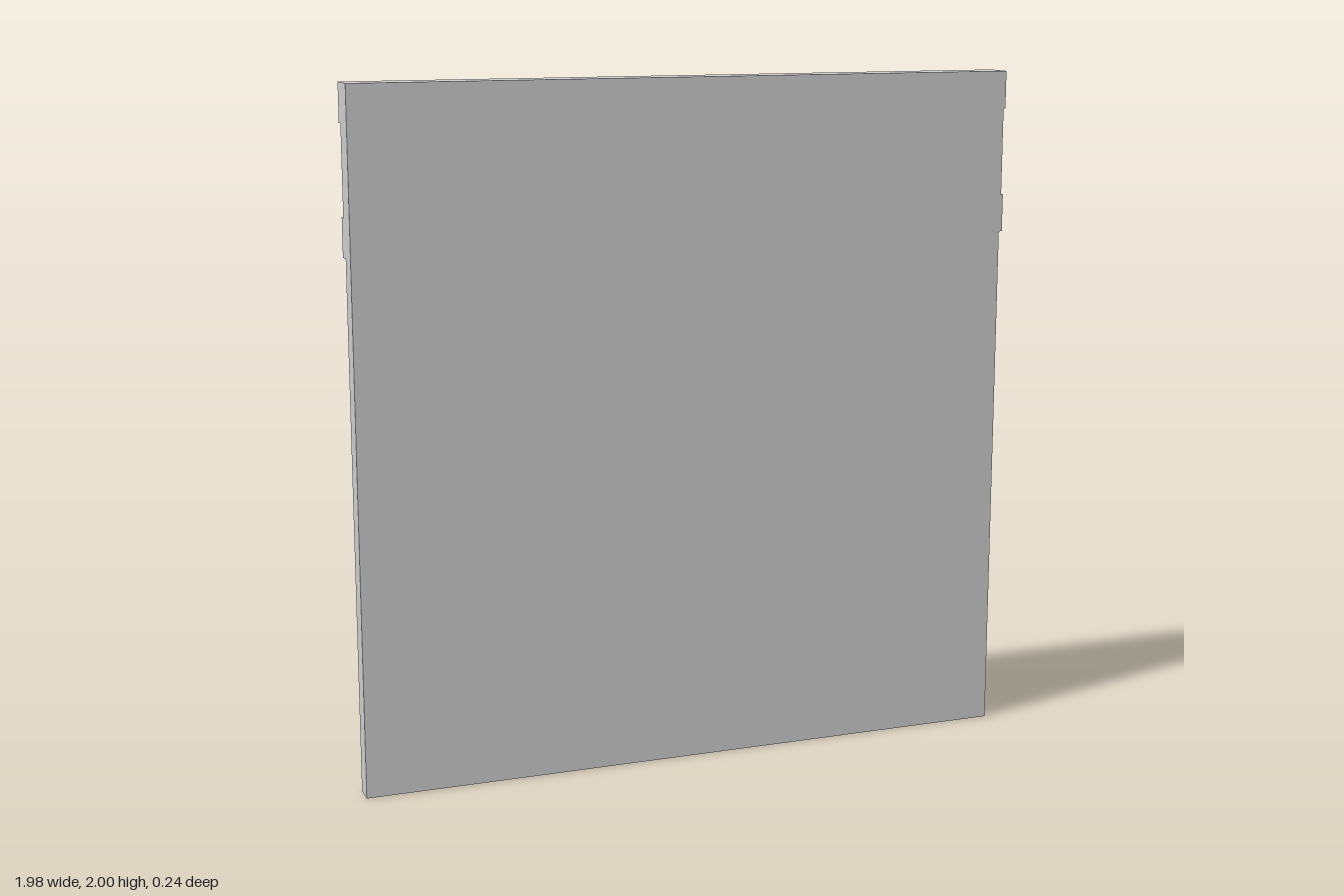
import * as THREE from 'three';

const material = new THREE.MeshStandardMaterial({ color: 0xcccccc, flatShading: true });

// Box given by its [min, max] extent on each axis
function block(name, [x0, x1], [y0, y1], [z0, z1]) {
  const geometry = new THREE.BoxGeometry(x1 - x0, y1 - y0, z1 - z0);
  const mesh = new THREE.Mesh(geometry, material);
  mesh.name = name;
  mesh.position.set((x0 + x1) / 2, (y0 + y1) / 2, (z0 + z1) / 2);
  return mesh;
}

export function createModel() {
  const model = new THREE.Group();
  model.name = 'wallWithShelf';
  const wallBack = 0.06, wallFront = 0.12, shelfTop = 0.957;

  // Wall panel, slightly wider between the rails
  model.add(block('wall', [-0.99, 0.977], [0, 1.58], [wallBack, wallFront]));
  model.add(block('upperWall', [-0.99, 0.981], [1.58, 1.95], [wallBack, wallFront]));

  // Horizontal rails
  model.add(block('topRail', [-0.99, 0.987], [1.89, 2], [0.025, wallFront]));
  model.add(block('lowerRail', [-0.99, 0.987], [1.525, 1.635], [0.025, wallFront]));

  // Upright battens between the rails
  for (let i = 0; i < 5; i++) {
    const x = 0.55 - i * 0.38;
    model.add(block('batten', [x - 0.02, x + 0.02], [1.635, 1.89], [0.045, wallBack]));
  }

  // Shelf
  model.add(block('shelf', [-0.66, 0.667], [0.925, shelfTop], [-0.12, wallBack]));

  // Upright books: x start, x end, height, outer z
  const books = new THREE.Group();
  books.name = 'books';
  const sizes = [
    [-0.633, -0.593, 0.147, -0.1],
    [-0.591, -0.554, 0.143, -0.09],
    [-0.553, -0.512, 0.125, -0.07],
    [-0.511, -0.471, 0.153, -0.09],
  ];
  for (const [x0, x1, height, z] of sizes) {
    books.add(block('book', [x0, x1], [shelfTop, shelfTop + height], [z, wallBack]));
  }

  // Book leaning on the others, pivoting on its lower corner
  const leaning = new THREE.Group();
  leaning.name = 'leaningBook';
  leaning.add(block('book', [0, 0.04], [0, 0.163], [-0.08, wallBack]));
  leaning.position.set(-0.424, shelfTop, 0);
  leaning.rotation.z = 0.26;
  books.add(leaning);
  model.add(books);

  return model;
}
